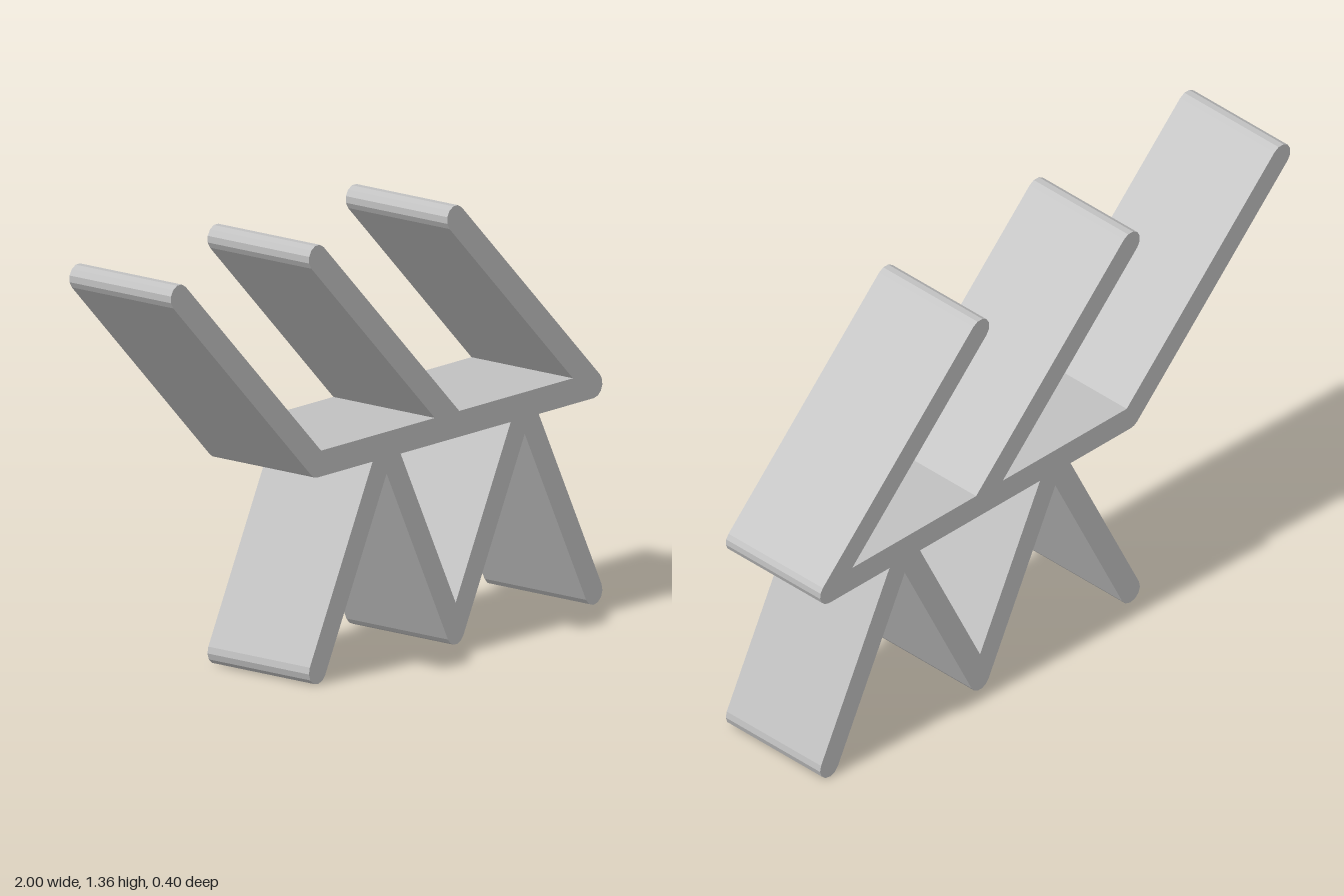
import * as THREE from 'three';

const R = 0.04;      // half thickness of every bar
const DEPTH = 0.4;   // depth along z
const BAR_Y = 0.68;  // centre line of the horizontal bar
const TIP_Y = 1.32;  // centre of the upper arm tips
const FOOT_Y = 0.04; // centre of the feet

// Faceted arc around a bar end, angles in degrees, about 30 degrees per facet
function arc(x, y, from, to) {
  const n = Math.ceil((to - from) / 30 - 0.01);
  return Array.from({ length: n + 1 }, (_, i) => {
    const a = THREE.MathUtils.degToRad(from + ((to - from) * i) / n);
    return new THREE.Vector2(x + R * Math.cos(a), y + R * Math.sin(a));
  });
}

export function createModel() {
  const group = new THREE.Group();
  group.name = 'zigzagStand';
  const grey = new THREE.MeshStandardMaterial({ color: 0xc0c0c0 });
  grey.name = 'lightGrey';

  const p = (x, y) => new THREE.Vector2(x, y);
  const top = BAR_Y + R, bottom = BAR_Y - R;
  const lean = THREE.MathUtils.radToDeg(Math.atan(0.5)); // legs lean from vertical
  const legJoin = R / 2 + (R * Math.sqrt(5)) / 2;        // leg edge where it meets the bar
  const crotch = R * Math.sqrt(5);                       // inner corner offset of two legs
  const armOut = R * Math.SQRT2 - R;                     // arm edges where they meet the bar
  const armIn = R * Math.SQRT2 + R;

  const outline = [
    // Legs, left to right
    ...arc(-0.32, FOOT_Y, 180 - lean, 360 - lean),
    p(0, BAR_Y - crotch),
    ...arc(0.32, FOOT_Y, 180 + lean, 360 - lean),
    p(0.64, BAR_Y - crotch),
    ...arc(0.96, FOOT_Y, 180 + lean, 360 + lean),
    p(0.64 + legJoin, bottom),
    // Bar end, then slanted arms, right to left
    ...arc(0.96, BAR_Y, -90, 45),
    ...arc(0.32, TIP_Y, 45, 225),
    p(0.96 - armIn, top),
    p(0.32 + armOut, top),
    ...arc(-0.32, TIP_Y, 45, 225),
    p(0.32 - armIn, top),
    p(-0.32 + armOut, top),
    ...arc(-0.96, TIP_Y, 45, 225),
    ...arc(-0.32, BAR_Y, 225, 270),
    p(-legJoin, bottom),
  ];
  const shape = new THREE.Shape(outline);

  // Triangular opening between the middle legs and the bar
  shape.holes.push(new THREE.Path([
    p(legJoin, bottom),
    p(0.32, FOOT_Y + crotch),
    p(0.64 - legJoin, bottom),
  ]));

  const geometry = new THREE.ExtrudeGeometry(shape, { depth: DEPTH, bevelEnabled: false });
  geometry.translate(0, 0, -DEPTH / 2);
  const frame = new THREE.Mesh(geometry, grey);
  frame.name = 'frame';
  group.add(frame);
  return group;
}
